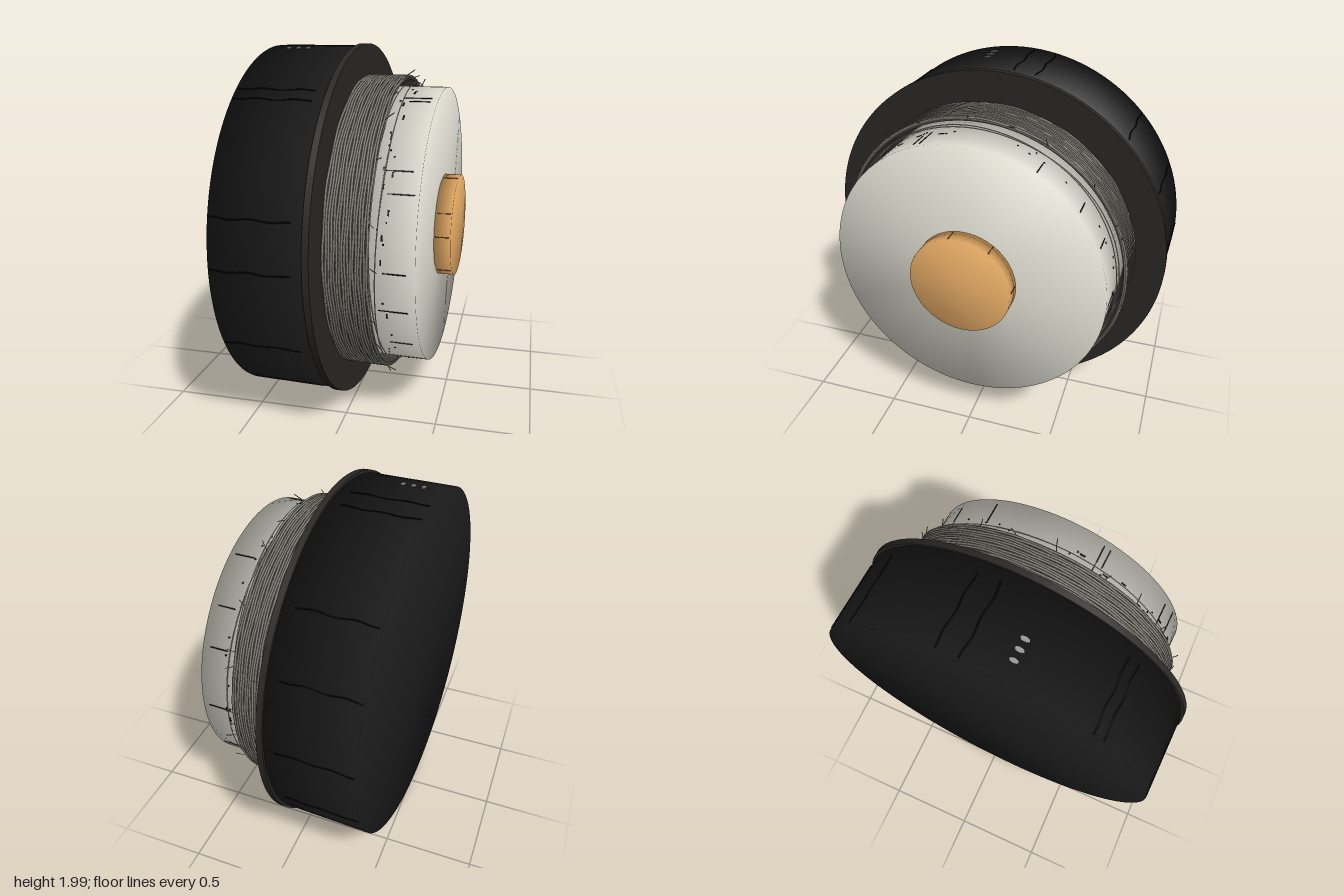
import * as THREE from 'three';
import { mergeGeometries, toCreasedNormals } from 'three/addons/utils/BufferGeometryUtils.js';

const mat = (color, side = THREE.FrontSide) => new THREE.MeshStandardMaterial({ color, side });
const black = mat(0x1c1c1c), rim = mat(0x2a2825), ink = mat(0x080808), ivory = mat(0xe6e4d8);
const orange = mat(0xf0b36a), thread = mat(0x85837a), threadDark = mat(0x4a4842), grey = mat(0x909090);
const pale = mat(0xc8c6bc);

// small seeded generator
function seeded(seed) {
  return () => (seed = (seed * 16807) % 2147483647) / 2147483647;
}

// point at distance s along the x axis, radius r, angle a from the top towards +z
const at = (s, r, a) => new THREE.Vector3(s, r * Math.cos(a), r * Math.sin(a));

// solid of revolution about x from [radius, s] pairs
function turned(profile, segments = 128) {
  const g = new THREE.LatheGeometry(profile.map(([r, s]) => new THREE.Vector2(r, s)), segments);
  return g.rotateZ(-Math.PI / 2);
}
const disc = (r, s0, s1) => turned([[0, s0], [r, s0], [r, s1], [0, s1]]);

// thin strand through points
function strand(points, radius, steps, closed = false, sides = 4) {
  return new THREE.TubeGeometry(new THREE.CatmullRomCurve3(points, closed), steps, radius, sides, closed);
}

// small plate lying on a cylinder of radius r
function plate(s, r, a, length, width, height = 0.004) {
  const g = new THREE.BoxGeometry(length, height, width);
  const p = at(s, r, a);
  return g.rotateX(a).translate(p.x, p.y, p.z);
}

export function createModel() {
  const model = new THREE.Group();
  const body = new THREE.Group();
  body.name = 'tiltedAssembly';
  body.position.y = 1;
  body.rotation.y = -0.041;
  model.add(body);
  const rand = seeded(4711);
  const add = (name, geometry, material) => {
    const m = new THREE.Mesh(geometry, material);
    m.name = name;
    body.add(m);
  };

  // main turned parts
  add('drum', disc(0.983, -0.51, -0.025), black);
  add('flange', toCreasedNormals(disc(0.996, -0.03, 0.004), 0.6), rim);
  add('threadSleeve', toCreasedNormals(
    turned([[0.822, 0], [0.822, 0.232], [0.806, 0.232], [0.806, 0]]), 0.6), threadDark);
  add('dome', disc(0.768, 0, 0.45), ivory);
  add('button', disc(0.285, 0.44, 0.54), orange);

  // wound thread: slightly wavy rings side by side
  const rings = [];
  for (let i = 0; i < 17; i++) {
    const pts = [];
    const phase = rand() * 6.28;
    for (let k = 0; k < 90; k++) {
      const a = (k / 90) * Math.PI * 2;
      pts.push(at(0.012 + i * 0.0135 + 0.0025 * Math.sin(15 * a + phase), 0.823, a));
    }
    rings.push(strand(pts, 0.0065, 180, true, 5));
  }
  add('woundThread', mergeGeometries(rings), thread);

  // pale end turn and loose strands slung over the dome
  const loops = [];
  for (const [s, r, lean, phase] of [[0.236, 0.818, 0, 0], [0.25, 0.79, 0.03, 1.2], [0.26, 0.786, 0.035, 3.6]]) {
    const pts = [];
    for (let k = 0; k < 48; k++) {
      const a = (k / 48) * Math.PI * 2;
      pts.push(at(s + lean * Math.sin(a + phase), r + 0.003 * Math.sin(5 * a), a));
    }
    loops.push(strand(pts, 0.003, 128, true));
  }
  add('looseStrands', mergeGeometries(loops), pale);

  // frayed ends sticking out of the winding
  const frays = [];
  for (let i = 0; i < 22; i++) {
    const a = (i + rand()) * Math.PI / 11;
    const turn = (rand() - 0.5) * 0.14;
    const rise = 0.015 + rand() * 0.03;
    frays.push(strand([
      at(0.225, 0.815, a),
      at(0.245, 0.822 + rise / 3, a + turn / 2),
      at(0.25 + rand() * 0.04, 0.82 + rise, a + turn),
    ], 0.0025, 6));
  }
  add('frayedEnds', mergeGeometries(frays), thread);

  // wavy seams along the drum
  const seams = [0.64, 0.71, 1.34, 1.6, 2.05, 2.55, 2.95, -0.07, -0.2, -0.8, -1.15, -1.55, -1.95, -2.4, -2.8]
    .map((a) => {
      const phase = rand() * 6.28;
      const pts = [];
      for (let k = 0; k <= 10; k++) {
        pts.push(at(-0.5 + k * 0.041, 0.983, a + 0.005 * Math.sin(k * 1.3 + phase)));
      }
      return strand(pts, 0.004, 24);
    });
  add('drumSeams', mergeGeometries(seams), ink);

  // three marker studs on top of the drum
  const studs = [-0.4, -0.345, -0.29].map((s) => {
    const g = new THREE.CylinderGeometry(0.5, 0.5, 0.006, 16).scale(0.025, 1, 0.048);
    const p = at(s, 0.984, 0.15);
    return g.rotateX(0.15).translate(p.x, p.y, p.z);
  });
  add('markerStuds', mergeGeometries(studs), grey);

  // scratches along the dome side, specks near the winding
  const marks = [0.32, 0.37, 0.98, 1.13, 1.63, 1.91, 2.24, 2.71, 3.1, -0.5, -0.87, -1.15, -1.6, -2.1, -2.6]
    .map((a) => {
      const length = 0.1 + rand() * 0.08;
      return plate(0.435 - length / 2 - rand() * 0.03, 0.768, a, length, 0.005);
    });
  for (let i = 0; i < 60; i++) {
    const long = rand() < 0.3;
    marks.push(plate(0.255 + rand() * 0.06, 0.768, rand() * 6.28, 0.008, long ? 0.03 : 0.009));
  }
  add('domeMarks', mergeGeometries(marks), ink);

  // scratches along the button side
  const nicks = [0.2, 1.1, 1.55, 2.4, -0.6, -1.5, -2.5].map((a) => plate(0.495, 0.285, a, 0.075, 0.004));
  add('buttonMarks', mergeGeometries(nicks), mat(0x5a3a1c));

  return model;
}
